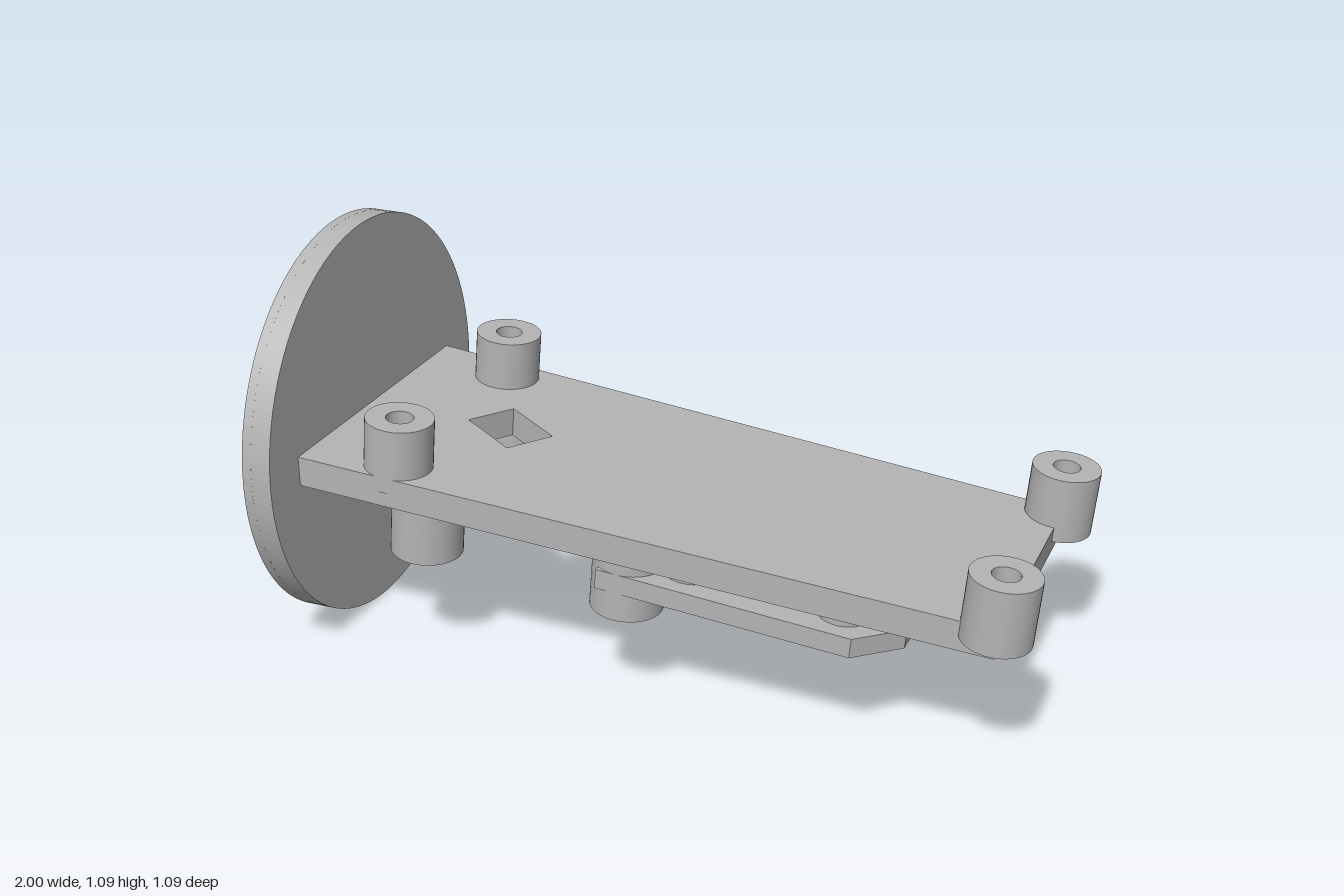
import * as THREE from 'three';

const grey = new THREE.MeshStandardMaterial({ color: 0xb4b4b4 });
grey.name = 'plain grey';

function add(parent, name, geometry, x = 0, y = 0, z = 0) {
  const mesh = new THREE.Mesh(geometry, grey);
  mesh.name = name;
  mesh.position.set(x, y, z);
  parent.add(mesh);
  return mesh;
}

const points = (list) => list.map(([x, y]) => new THREE.Vector2(x, y));

// Slab outlined in x/z, with its top at y = 0
function slab(outline, thickness, hole) {
  const shape = new THREE.Shape(points(outline));
  if (hole) shape.holes.push(new THREE.Path(points(hole)));
  return new THREE.ExtrudeGeometry(shape, { depth: thickness, bevelEnabled: false }).rotateX(Math.PI / 2);
}

// Hollow post: smooth walls with sharp rims, standing from y0 to y1
function post(outer, inner, y0, y1) {
  const profile = [[inner, y0], [outer, y0], [outer, y0], [outer, y1], [outer, y1], [inner, y1], [inner, y1], [inner, y0]];
  const geo = new THREE.LatheGeometry(points(profile), 40);
  // Set the normals of each profile run so the rims stay crisp
  const n = geo.attributes.normal, p = geo.attributes.position;
  for (let i = 0; i < p.count; i++) {
    const run = Math.floor((i % profile.length) / 2);
    const r = Math.hypot(p.getX(i), p.getZ(i));
    const s = run === 1 ? 1 / r : -1 / r;
    if (run === 0) n.setXYZ(i, 0, -1, 0);
    else if (run === 2) n.setXYZ(i, 0, 1, 0);
    else n.setXYZ(i, p.getX(i) * s, 0, p.getZ(i) * s);
  }
  return geo;
}

export function createModel() {
  const model = new THREE.Group();
  model.name = 'bracket';

  // Round end disc, with a shallow rectangular recess in its outer face
  const R = 0.545;
  add(model, 'endDisc', new THREE.CylinderGeometry(R, R, 0.055, 96).rotateZ(Math.PI / 2), -0.9475, R, 0);
  const face = new THREE.Shape().absarc(0, 0, R, 0, Math.PI * 2, false);
  const w = 0.132, h = 0.11;
  face.holes.push(new THREE.Path(points([[-w, -h], [-w, h], [w, h], [w, -h]])));
  const faceGeo = new THREE.ExtrudeGeometry(face, { depth: 0.025, bevelEnabled: false, curveSegments: 96 });
  add(model, 'endDiscRecessedFace', faceGeo.rotateY(-Math.PI / 2), -0.975, R, 0);

  // Everything else hangs on a plate sloping down away from the disc
  const arm = new THREE.Group();
  arm.name = 'slopingArm';
  arm.position.y = 0.505;
  arm.rotation.z = -THREE.MathUtils.degToRad(5);
  model.add(arm);

  // Tapered main plate with a turned rectangular hole
  const turn = THREE.MathUtils.degToRad(31);
  const hole = [[-1, -1], [-1, 1], [1, 1], [1, -1]].map(([a, b]) => {
    const x = a * 0.094, z = b * 0.072;
    return [-0.532 + x * Math.cos(turn) - z * Math.sin(turn), -0.024 + x * Math.sin(turn) + z * Math.cos(turn)];
  });
  add(arm, 'mainPlate', slab([[-0.96, -0.41], [0.91, -0.343], [0.91, 0.343], [-0.96, 0.41]], 0.08, hole));

  // Lower plate with cut front corners
  add(arm, 'lowerPlate',
    slab([[-0.1, -0.37], [0.57, -0.37], [0.677, -0.26], [0.677, 0.26], [0.57, 0.37], [-0.1, 0.37]], 0.053), 0, -0.113, 0);

  // Mirrored posts and spacers
  for (const side of [-1, 1]) {
    for (const x of [-0.684, 0.902]) add(arm, 'upperPost', post(0.089, 0.036, -0.04, 0.135), x, 0, side * 0.315);
    for (const x of [-0.616, -0.047]) add(arm, 'lowerPost', post(0.095, 0.04, -0.244, -0.079), x, 0, side * 0.275);
    for (const x of [0.11, 0.516]) {
      add(arm, 'spacer', new THREE.CylinderGeometry(0.067, 0.067, 0.04, 32), x, -0.097, side * 0.26);
    }
  }
  return model;
}
